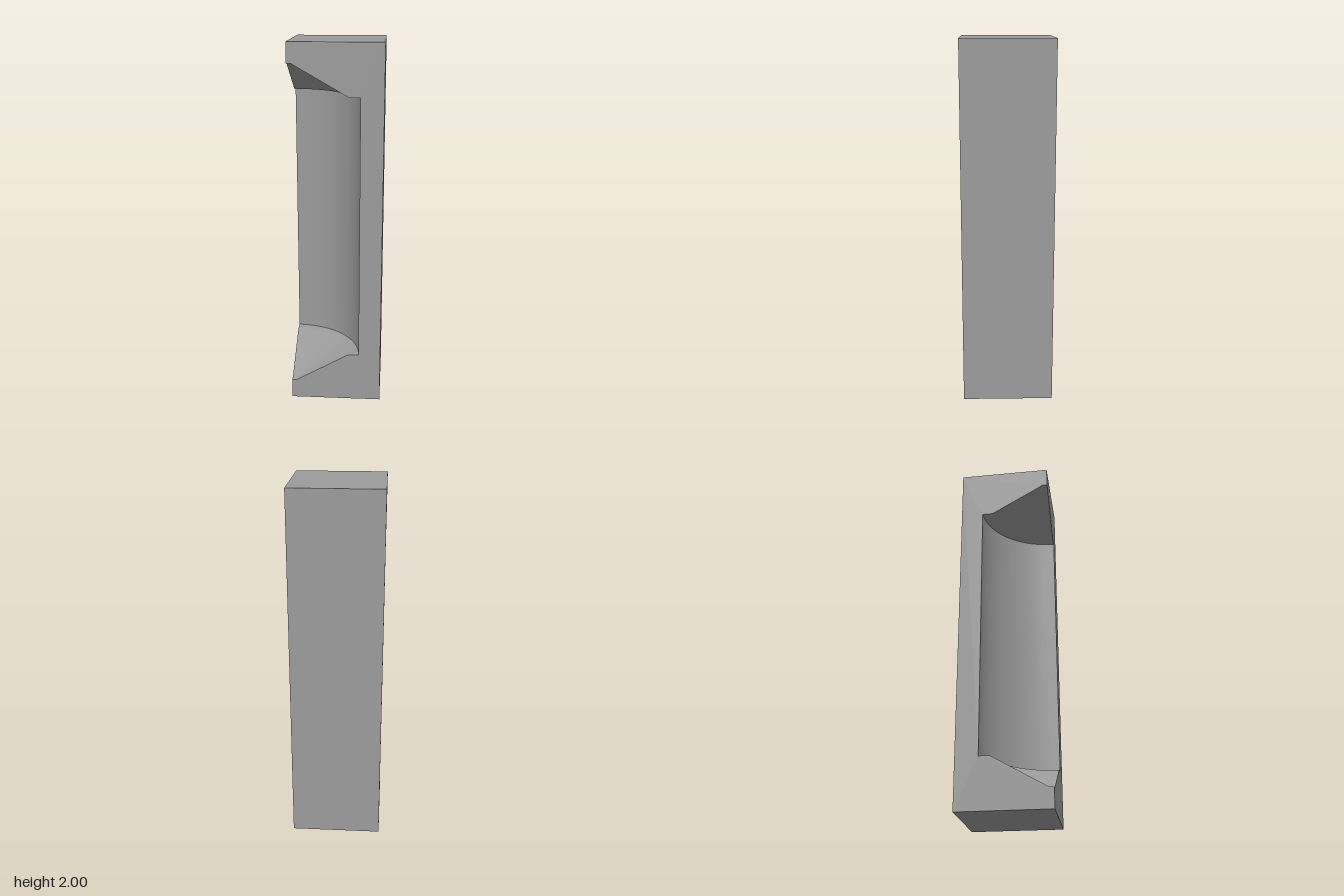
import * as THREE from 'three';
import { toCreasedNormals } from 'three/addons/utils/BufferGeometryUtils.js';

const WIDTH = 0.5, HEIGHT = 2, H = WIDTH / 2;

// Half profile of the corner recess [radius from corner edge, height], lower end
const lowerEnd = [[0.378, 0.277], [0.32, 0.277], [0.025, 0.108], [0, 0.108]];
const upperEnd = lowerEnd.map(([r, y]) => [r, HEIGHT - y]).reverse();
const profile = [...upperEnd, ...lowerEnd]; // top to bottom, so the surface faces the axis

export function createModel() {
  const group = new THREE.Group();
  const material = new THREE.MeshStandardMaterial({ color: 0x9b9b9b });
  const add = (name, geometry) => {
    const mesh = new THREE.Mesh(geometry, material);
    mesh.name = name;
    group.add(mesh);
    return mesh;
  };

  // Plain sides of the block: a box without its left-hand (-x) and front (+z) faces
  const box = new THREE.BoxGeometry(WIDTH, HEIGHT, WIDTH);
  const index = Array.from(box.index.array);
  box.setIndex([...index.slice(0, 6), ...index.slice(12, 24), ...index.slice(30)]);
  box.clearGroups();
  add('blockSides', box).position.y = HEIGHT / 2;

  // Notched faces: flat outlines cut by the recess profile, mirrored about the corner
  const notchedFace = (dir) => {
    const outline = [[0, HEIGHT], ...profile, [0, 0], [WIDTH, 0], [WIDTH, HEIGHT]];
    return new THREE.ShapeGeometry(
      new THREE.Shape(outline.map(([u, y]) => new THREE.Vector2(dir * u, y))));
  };
  add('notchedFrontFace', notchedFace(1)).position.set(-H, 0, H);
  const side = add('notchedSideFace', notchedFace(-1));
  side.position.set(-H, 0, H);
  side.rotation.y = -Math.PI / 2;

  // Recess: quarter-round hollow with conical ends, turned about the corner edge
  const recess = new THREE.LatheGeometry(
    profile.map(([r, y]) => new THREE.Vector2(r, y)), 48, Math.PI / 2, Math.PI / 2);
  add('cornerRecess', toCreasedNormals(recess, 0.6)).position.set(-H, 0, H);

  return group;
}
